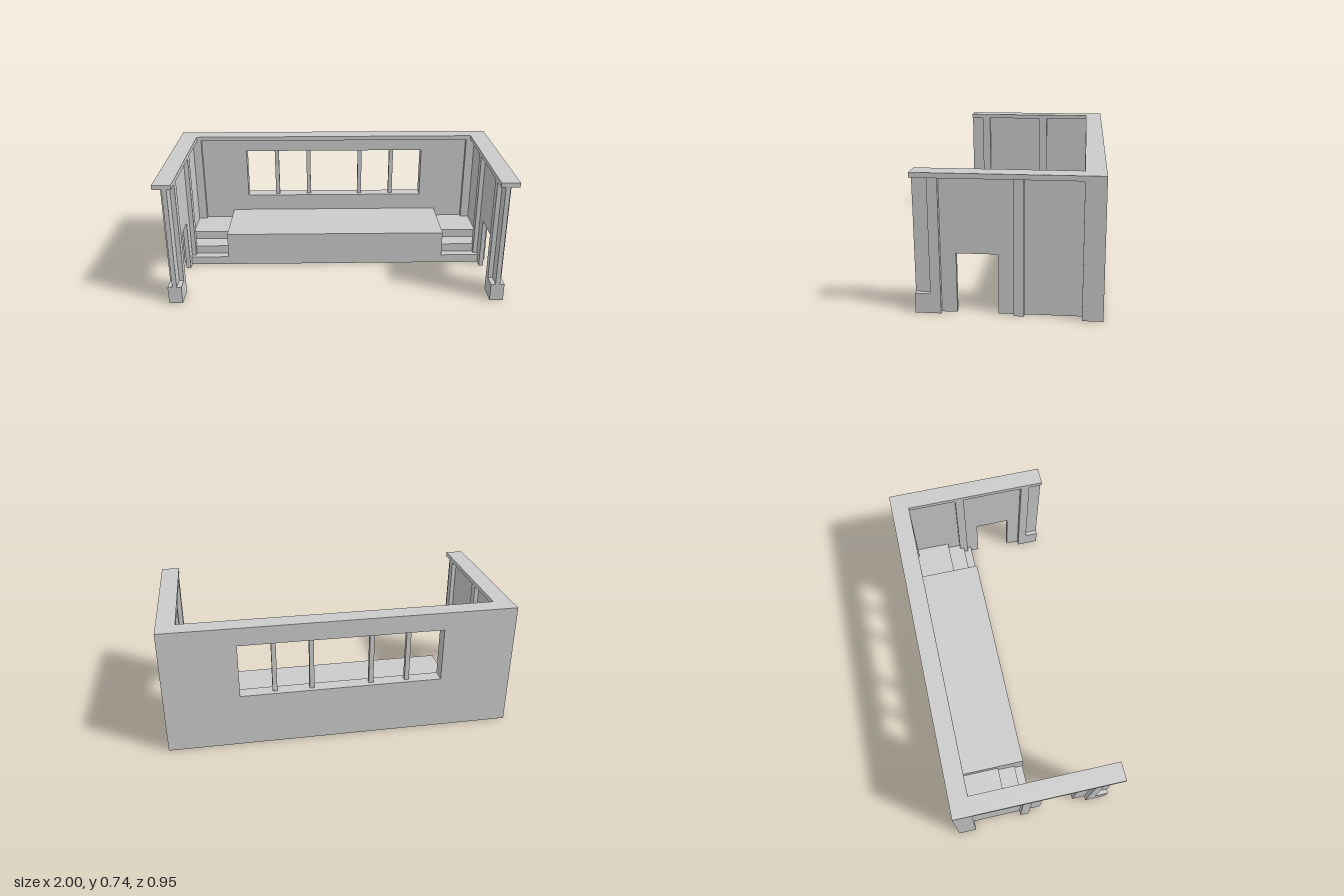
import * as THREE from 'three';

// All dimensions below are in modules; the model is 76 modules wide.
const U = 2 / 76;

export function createModel() {
  const model = new THREE.Group();
  const material = new THREE.MeshStandardMaterial({ color: 0xcccccc, flatShading: true });

  function add(name, geometry) {
    geometry.scale(U, U, U);
    const mesh = new THREE.Mesh(geometry, material);
    mesh.name = name;
    model.add(mesh);
  }

  // Box from its two extremes on each axis
  function box(name, x0, x1, y0, y1, z0, z1) {
    const g = new THREE.BoxGeometry(Math.abs(x1 - x0), y1 - y0, z1 - z0);
    g.translate((x0 + x1) / 2, (y0 + y1) / 2, (z0 + z1) / 2);
    add(name, g);
  }

  const outline = (points) => new THREE.Shape(points.map(([a, b]) => new THREE.Vector2(a, b)));
  const extrude = (shape, depth) => new THREE.ExtrudeGeometry(shape, { depth, bevelEnabled: false });

  // Back wall with a wide window
  const back = outline([[-38, 0], [38, 0], [38, 27], [-38, 27]]);
  back.holes.push(new THREE.Path([[-22, 12], [-22, 24], [22, 24], [22, 12]].map(([a, b]) => new THREE.Vector2(a, b))));
  add('backWall', extrude(back, 3).translate(0, 0, -18));

  // Flat U-shaped coping over the three walls
  const coping = outline([[-38, -18], [-34, -18], [-34, 14], [34, 14], [34, -18], [38, -18], [38, 18], [-38, 18]]);
  add('coping', extrude(coping, 1).rotateX(-Math.PI / 2).translate(0, 27, 0));

  // Raised platform
  box('platform', -26, 26, 0, 8, -15, 0);

  // Side wall outline (-z across, y up) with a doorway open at the floor
  const sideOutline = [[-18, 0], [-10, 0], [-10, 12], [-2, 12], [-2, 0], [14, 0], [14, 27], [-18, 27]];

  for (const s of [-1, 1]) {
    const wall = extrude(outline(sideOutline), 1).rotateY(Math.PI / 2);
    add('sideWall', wall.translate(s > 0 ? 35 : -36, 0, 0));

    box('cornerPier', s * 33, s * 38, 0, 27, -15, -14);
    box('middlePilaster', s * 34, s * 37, 0, 27, -3, -1);
    box('frontPilaster', s * 34, s * 37, 0, 27, 13, 15);
    box('pilasterBase', s * 34, s * 37, 0, 4, 15, 18);

    // Window mullions
    for (const x of [6, 14]) box('mullion', s * x, s * (x + 1), 12, 24, -17, -16);

    // Steps rising towards the back, beside the platform
    [0, -2, -6].forEach((z, i) => box('step', s * 26, s * 35, i * 2, i * 2 + 2, -15, z));
  }

  return model;
}
